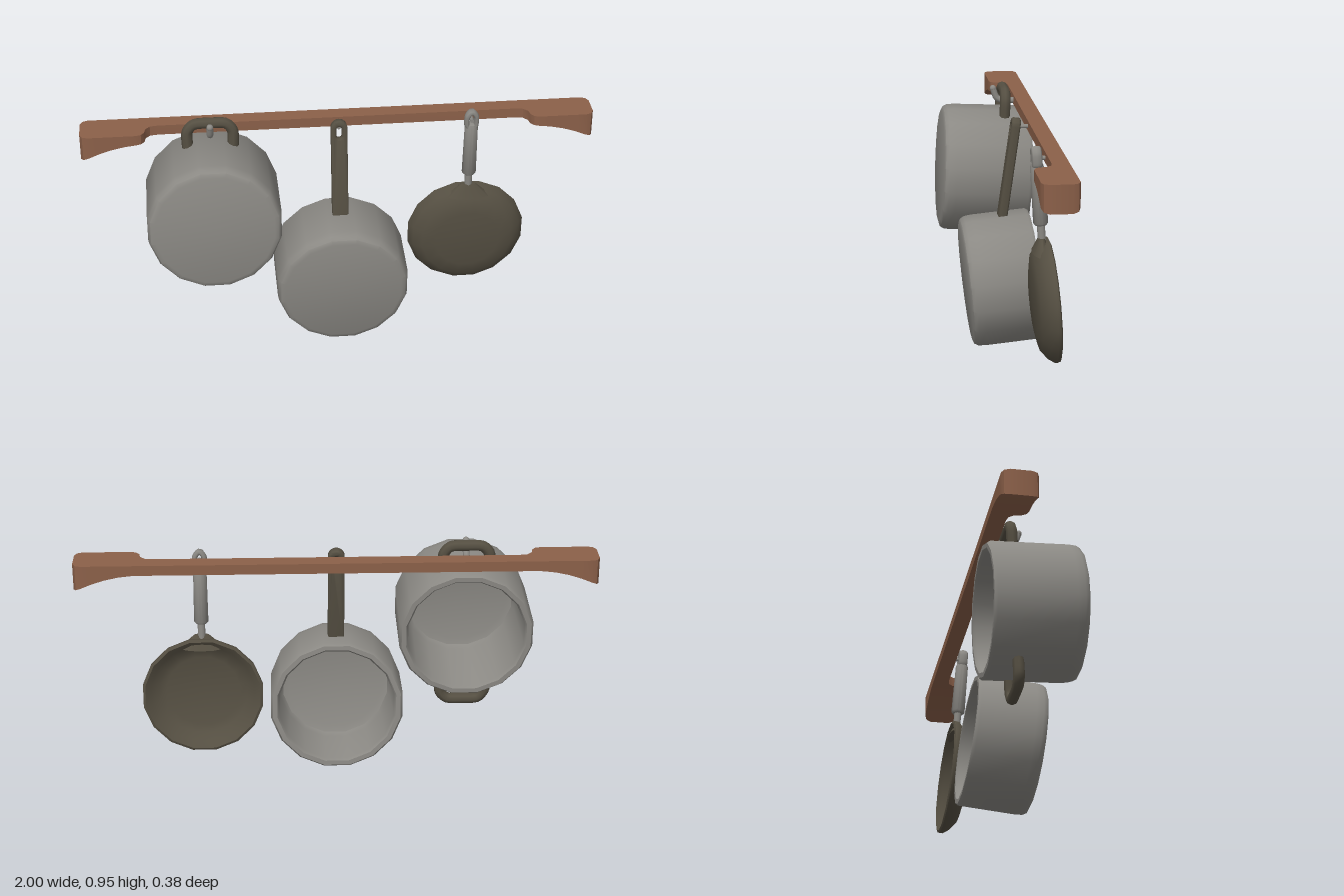
import * as THREE from 'three';
import { toCreasedNormals } from 'three/addons/utils/BufferGeometryUtils.js';

const mat = (name, color) => Object.assign(new THREE.MeshStandardMaterial({ color }), { name });
const V = (x, y, z) => new THREE.Vector3(x, y, z);

export function createModel() {
  const wood = mat('wood', 0x8b6049);
  const steel = mat('steel', 0x8b8984);
  const iron = mat('dark iron', 0x554f42);

  const model = new THREE.Group();
  model.name = 'hangingPotRack';

  function add(parent, name, geometry, material, x = 0, y = 0, z = 0, rx = 0) {
    const mesh = new THREE.Mesh(geometry, material);
    mesh.name = name;
    mesh.position.set(x, y, z);
    mesh.rotation.x = rx;
    parent.add(mesh);
    return mesh;
  }

  const tube = (points, radius, closed = false) => new THREE.TubeGeometry(
    new THREE.CatmullRomCurve3(points, closed, 'catmullrom', 0.4), 28, radius, 8, closed);

  // Turned vessel: 16 sides, open end facing backwards
  const turned = (profile) => toCreasedNormals(new THREE.LatheGeometry(
    profile.map(([r, d]) => new THREE.Vector2(r, d)), 16, Math.PI / 16), 0.75);

  // Wooden rail: rectangular cross-sections [x, front z, back z], mirrored
  function railGeometry() {
    const half = [[0.7, -0.125, -0.19], [0.73, -0.12, -0.19], [0.748, -0.1, -0.19],
      [0.752, -0.075, -0.19], [0.765, -0.058, -0.19], [0.785, -0.052, -0.19],
      [0.83, -0.052, -0.19], [0.88, -0.052, -0.19], [0.93, -0.052, -0.19],
      [0.97, -0.052, -0.19], [0.99, -0.06, -0.182], [1, -0.08, -0.162]];
    const stations = [...half.map(([x, f, b]) => [-x, f, b]).reverse(), ...half];
    const sections = stations.map(([x, f, b]) => {
      const t = Math.max(0, (Math.abs(x) - 0.75) / 0.25);
      const low = 0.875 - 0.065 * t * t;
      return [[x, 0.915, b], [x, 0.915, f], [x, low, f], [x, low, b]];
    });
    const pos = [];
    const quad = (a, b, c, d) => pos.push(...a, ...b, ...c, ...a, ...c, ...d);
    for (let i = 0; i < sections.length - 1; i++) {
      const s = sections[i], n = sections[i + 1];
      for (let k = 0; k < 4; k++) quad(s[k], s[(k + 1) % 4], n[(k + 1) % 4], n[k]);
    }
    quad(...sections[sections.length - 1]);
    quad(...[...sections[0]].reverse());
    const g = new THREE.BufferGeometry();
    g.setAttribute('position', new THREE.Float32BufferAttribute(pos, 3));
    g.computeVertexNormals();
    return toCreasedNormals(g, 0.6);
  }
  add(model, 'rail', railGeometry(), wood);

  // Pot body with rounded base, thick wall and rolled rim
  const potProfile = (r, depth) => [[0, 0], [r - 0.03, 0], [r - 0.012, 0.006], [r - 0.003, 0.022],
    [r, 0.05], [r, depth - 0.012], [r - 0.008, depth], [r - 0.026, depth],
    [r - 0.034, depth - 0.012], [r - 0.04, 0.06], [r - 0.05, 0.038], [r - 0.075, 0.03], [0, 0.03]];

  function vessel(name, profile, material, x, y, z, tilt) {
    const group = new THREE.Group();
    group.name = name;
    group.position.set(x, y, z);
    group.rotation.x = -Math.PI / 2 - tilt;
    model.add(group);
    add(group, name + 'Body', turned(profile), material);
    return group;
  }

  // Stock pot with a loop handle above and below
  const stockPot = vessel('stockPot', potProfile(0.263, 0.36), steel, -0.5, 0.615, 0.184, 0.045);
  for (const s of [1, -1]) {
    const loop = [[-0.088, 0.235], [-0.088, 0.3], [-0.06, 0.333], [0, 0.336],
      [0.06, 0.333], [0.088, 0.3], [0.088, 0.235]].map(([x, r]) => V(x, 0.253, s * r));
    add(stockPot, s > 0 ? 'upperLoopHandle' : 'lowerLoopHandle', tube(loop, 0.022), iron);
  }

  // Saucepan
  vessel('saucepan', potProfile(0.264, 0.278), steel, 0, 0.264, 0.122, -0.095);

  // Flat bar handle with a hanging slot
  function capsule(Path, w, y0, y1) {
    const p = new Path();
    p.absarc(0, y1 - w, w, 0, Math.PI, false);
    p.absarc(0, y0 + w, w, Math.PI, 2 * Math.PI, false);
    p.closePath();
    return p;
  }
  const bar = capsule(THREE.Shape, 0.025, 0, 0.41);
  bar.holes.push(capsule(THREE.Path, 0.018, 0.335, 0.398));
  const barGeometry = new THREE.ExtrudeGeometry(bar, {
    depth: 0.022, bevelThickness: 0.007, bevelSize: 0.007, bevelSegments: 2, curveSegments: 8 });
  barGeometry.translate(0, 0, -0.011);
  add(model, 'saucepanHandle', toCreasedNormals(barGeometry, 0.8), iron, 0, 0.515, -0.022, -0.14);

  // Frying pan
  const panX = 0.523;
  vessel('fryingPan', [[0, 0], [0.13, 0.002], [0.185, 0.013], [0.22, 0.04], [0.238, 0.066],
    [0.238, 0.077], [0.228, 0.082], [0.205, 0.065], [0.175, 0.04], [0.145, 0.03], [0, 0.03]],
  iron, panX, 0.342, -0.08, -0.07);
  add(model, 'panHandleSocket', new THREE.CylinderGeometry(0.03, 0.09, 0.055, 12), iron,
    panX, 0.562, -0.113).scale.z = 0.4;

  // Pan handle: neck, grip and hanging eye
  const handle = new THREE.Group();
  handle.name = 'panHandle';
  handle.position.set(panX, 0.58, -0.115);
  handle.rotation.x = 0.07;
  model.add(handle);
  add(handle, 'neck', new THREE.CylinderGeometry(0.015, 0.015, 0.1, 10), steel, 0, 0.03, 0);
  const grip = [[0, 0.06], [0.022, 0.06], [0.028, 0.068], [0.026, 0.28], [0.02, 0.296], [0, 0.3]];
  add(handle, 'grip', turned(grip), steel);
  const eye = [[-0.017, 0.29], [-0.017, 0.33], [0, 0.351], [0.017, 0.33], [0.017, 0.29], [0, 0.28]];
  add(handle, 'hangingEye', tube(eye.map(([x, y]) => V(x, y, 0)), 0.011, true), steel)
    .scale.z = 1.8;

  // Curved hook for the stock pot, short pegs for the other two
  const hook = [V(0, 0.892, -0.13), V(0, 0.89, -0.085), V(0, 0.904, -0.055), V(0, 0.943, -0.04)];
  add(model, 'hook', tube(hook, 0.013), steel, -0.5);
  add(model, 'hookTip', new THREE.SphereGeometry(0.0135, 10, 8), steel, -0.5, 0.943, -0.04);
  for (const x of [0, panX]) {
    add(model, 'peg', new THREE.CylinderGeometry(0.008, 0.008, 0.05, 8), steel,
      x, 0.893, -0.105, Math.PI / 2);
  }
  for (const o of model.children) if (o.name === 'panHandle') o.rotation.x = 0.07;

  return model;
}
